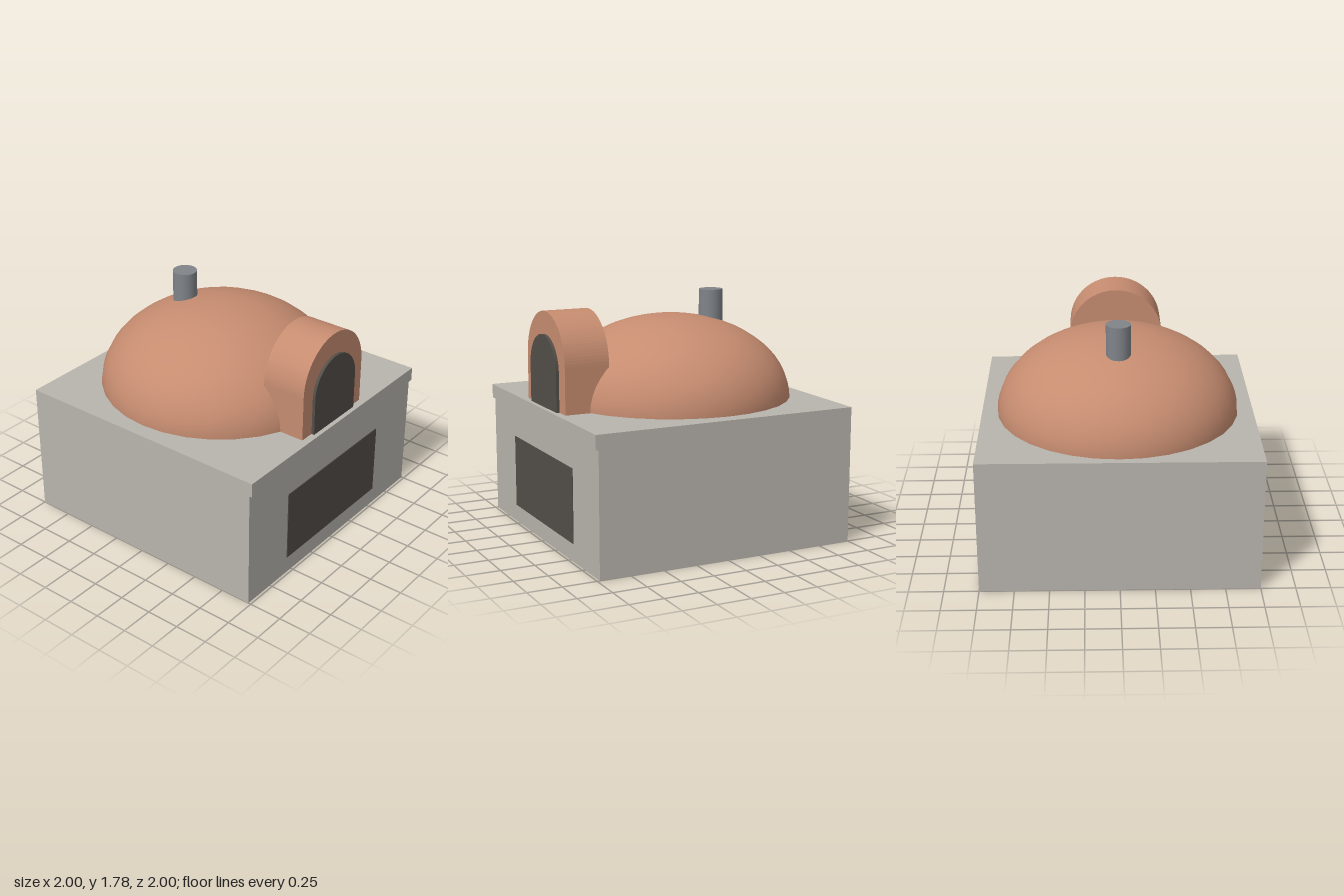
import * as THREE from 'three';

const mat = (name, color) => Object.assign(new THREE.MeshStandardMaterial({ color }), { name });

export function createModel() {
  const group = new THREE.Group();
  const stone = mat('stone', 0xb8b4ad);
  const clay = mat('clay', 0xc68c70);
  const dark = mat('dark opening', 0x524e48);
  const metal = mat('flue metal', 0x808489);

  const add = (name, geometry, material, x = 0, y = 0, z = 0) => {
    const mesh = new THREE.Mesh(geometry, material);
    mesh.name = name;
    mesh.position.set(x, y, z);
    group.add(mesh);
    return mesh;
  };

  // Round-topped block standing on the worktop
  const archBlock = (halfWidth, springY, depth) => {
    const shape = new THREE.Shape();
    shape.moveTo(-halfWidth, 0);
    shape.lineTo(halfWidth, 0);
    shape.lineTo(halfWidth, springY);
    shape.absarc(0, springY, halfWidth, 0, Math.PI, false);
    shape.closePath();
    return new THREE.ExtrudeGeometry(shape, { depth, bevelEnabled: false, curveSegments: 24 });
  };

  // Plinth: side profile with a worktop lip on the front, extruded across x
  const profile = new THREE.Shape(
    [[-0.98, 0], [1, 0], [1, 1], [-1, 1], [-1, 0.895], [-0.98, 0.895]].map(([a, b]) => new THREE.Vector2(a, b))
  );
  const plinth = new THREE.ExtrudeGeometry(profile, { depth: 2, bevelEnabled: false });
  plinth.translate(0, 0, -1).rotateY(Math.PI / 2);
  add('plinth', plinth, stone);

  // Dark storage panel on the plinth front
  add('storagePanel', new THREE.BoxGeometry(1.11, 0.54, 0.008), dark, 0, 0.402, 0.982);

  // Flattened half-sphere oven dome
  const dome = new THREE.SphereGeometry(0.888, 32, 16, 0, Math.PI * 2, 0, Math.PI / 2);
  dome.scale(1, 0.688, 1);
  add('dome', dome, clay, 0, 1, -0.055);

  // Mouth surround and its dark opening
  add('mouthArch', archBlock(0.355, 0.335, 0.335), clay, 0, 1, 0.61);
  add('mouthOpening', archBlock(0.245, 0.28, 0.03), dark, 0, 1, 0.937);

  // Flue rising from the back of the dome
  add('flue', new THREE.CylinderGeometry(0.089, 0.089, 0.38, 24), metal, 0, 1.59, -0.39);

  return group;
}
